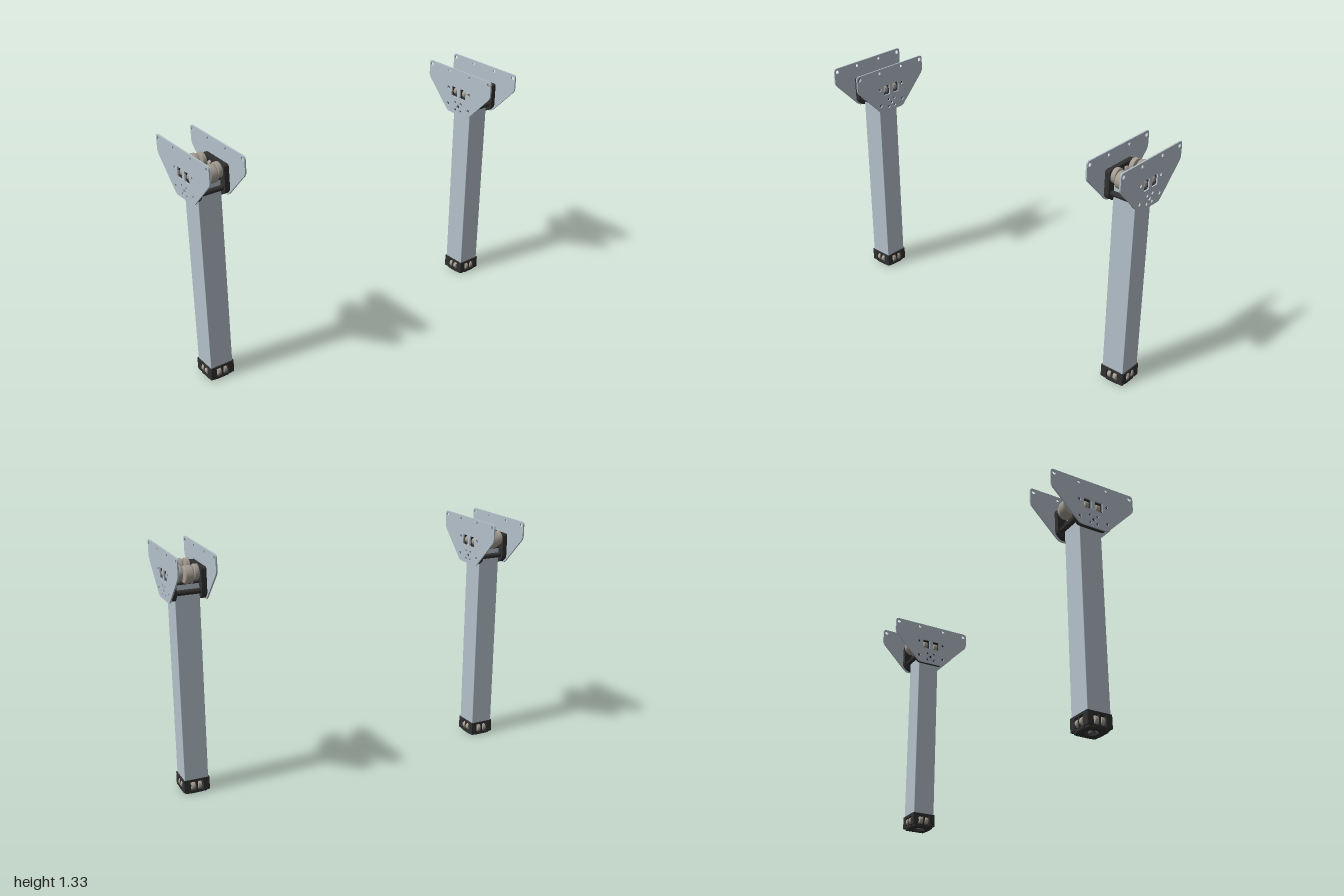
import * as THREE from 'three';

const steel = new THREE.MeshStandardMaterial({ color: 0xb4c0ca });
const black = new THREE.MeshStandardMaterial({ color: 0x303030 });
const rubber = new THREE.MeshStandardMaterial({ color: 0xa39c92 });

function add(parent, name, geometry, material, x = 0, y = 0, z = 0) {
  const mesh = new THREE.Mesh(geometry, material);
  mesh.name = name;
  mesh.position.set(x, y, z);
  parent.add(mesh);
  return mesh;
}

// polygon with rounded corners
function roundedPolygon(points, r) {
  const shape = new THREE.Shape();
  const v = points.map(([a, b]) => new THREE.Vector2(a, b));
  v.forEach((p, i) => {
    const toward = q => q.clone().sub(p).setLength(r).add(p);
    const a = toward(v[(i + v.length - 1) % v.length]);
    const b = toward(v[(i + 1) % v.length]);
    if (i === 0) shape.moveTo(a.x, a.y); else shape.lineTo(a.x, a.y);
    shape.quadraticCurveTo(p.x, p.y, b.x, b.y);
  });
  shape.closePath();
  return shape;
}
const rectangle = (w, h, r, x = 0, y = 0) => roundedPolygon(
  [[x - w, y - h], [x + w, y - h], [x + w, y + h], [x - w, y + h]], r);

function roundHole(shape, x, y, r) {
  shape.holes.push(new THREE.Path().absarc(x, y, r, 0, Math.PI * 2, true));
}

// extrude a (z, y) outline along x, centred on x = 0
function sidePanel(shape, depth) {
  return new THREE.ExtrudeGeometry(shape, { depth, bevelEnabled: false, curveSegments: 8 })
    .translate(0, 0, -depth / 2).rotateY(-Math.PI / 2);
}
// extrude an (x, z) outline upward from y = 0
function slab(shape, depth) {
  return new THREE.ExtrudeGeometry(shape, { depth, bevelEnabled: false, curveSegments: 10 })
    .rotateX(-Math.PI / 2);
}
// wheel with softened rims, axis along x
function wheel(radius, width) {
  const h = width / 2, c = Math.min(radius, width) * 0.18;
  const profile = [[0, -h], [radius - c, -h], [radius - c * 0.3, -h + c * 0.3], [radius, -h + c],
    [radius, h - c], [radius - c * 0.3, h - c * 0.3], [radius - c, h], [0, h]];
  return new THREE.LatheGeometry(profile.map(p => new THREE.Vector2(...p)), 28)
    .rotateZ(-Math.PI / 2);
}
const rod = (r, length) => new THREE.CylinderGeometry(r, r, length, 16).rotateZ(Math.PI / 2);

function addWindows(shape, w, h) {
  for (const s of [-1, 1]) shape.holes.push(rectangle(w, h, 0.006, s * 0.034, 1.19));
}

function createFoot() {
  const foot = new THREE.Group();
  foot.name = 'foot';
  const collar = rectangle(0.071, 0.071, 0.006);
  roundHole(collar, 0, 0, 0.034);
  add(foot, 'footCollar', slab(collar, 0.012), black, 0, 0.068, 0);
  const base = rectangle(0.062, 0.062, 0.014);
  roundHole(base, 0, 0, 0.034);
  add(foot, 'footBase', slab(base, 0.012), black);
  const post = slab(rectangle(0.0185, 0.0185, 0.005), 0.06);
  for (const x of [-1, 1]) for (const z of [-1, 1])
    add(foot, 'footCorner', post, black, x * 0.0525, 0.01, z * 0.0525);

  // a pair of small rollers with an axle and a rib on each face
  for (let i = 0; i < 4; i++) {
    const face = new THREE.Group();
    face.name = 'footRollerSet';
    face.rotation.y = i * Math.PI / 2;
    for (const s of [-1, 1])
      add(face, 'footRoller', wheel(0.021, 0.021), rubber, s * 0.0175, 0.041, 0.054);
    add(face, 'footAxle', rod(0.006, 0.08), black, 0, 0.041, 0.054);
    add(face, 'footRib', new THREE.BoxGeometry(0.01, 0.06, 0.034), black, 0, 0.04, 0.053);
    add(face, 'footSill', new THREE.BoxGeometry(0.07, 0.014, 0.012), black, 0, 0.009, 0.062);
    foot.add(face);
  }
  return foot;
}

function createHead() {
  const head = new THREE.Group();
  head.name = 'head';

  // outer mounting plate
  const plate = roundedPolygon([[-0.083, 1.06], [0.083, 1.06], [0.25, 1.23], [0.25, 1.325],
    [-0.25, 1.325], [-0.25, 1.23]], 0.018);
  for (const s of [-1, 1]) {
    roundHole(plate, s * 0.23, 1.304, 0.011);
    roundHole(plate, s * 0.083, 1.304, 0.009);
    for (const y of [1.105, 1.203]) roundHole(plate, s * 0.083, y, 0.009);
    for (const y of [1.084, 1.128]) roundHole(plate, s * 0.022, y, 0.008);
  }
  roundHole(plate, 0, 1.106, 0.01);
  addWindows(plate, 0.022, 0.029);

  // inner black cheek
  const cheek = roundedPolygon([[-0.075, 1.066], [0.075, 1.066], [0.105, 1.096], [0.105, 1.233],
    [-0.105, 1.233], [-0.105, 1.096]], 0.014);
  roundHole(cheek, 0, 1.106, 0.01);
  addWindows(cheek, 0.019, 0.026);

  for (const s of [-1, 1]) {
    add(head, 'mountingPlate', sidePanel(plate, 0.008), steel, s * 0.096);
    add(head, 'cheek', sidePanel(cheek, 0.027), black, s * 0.0785);
    for (const z of [-0.034, 0.034]) {
      const roller = add(head, 'guideRoller', wheel(0.021, 0.024), rubber, s * 0.076, 1.19, z);
      roller.rotation.y = Math.PI / 2;
    }
    const pin = add(head, 'guidePin', rod(0.006, 0.13), black, s * 0.076, 1.19, 0);
    pin.rotation.y = Math.PI / 2;

    // large rollers on the front and back axles
    const z = s * 0.08;
    add(head, 'middleRoller', wheel(0.046, 0.048), rubber, 0, 1.2, s * 0.084);
    for (const x of [-0.043, 0.043])
      add(head, 'sideRoller', wheel(0.041, 0.026), rubber, x, 1.207, s * 0.073);
    add(head, 'rollerAxle', rod(0.011, 0.17), black, 0, 1.203, z);
    add(head, 'crossBar', rod(0.014, 0.17), black, 0, 1.109, z);
  }

  // cap over the top of the tube, with corner screws
  const cap = rectangle(0.066, 0.066, 0.006);
  roundHole(cap, 0, 0, 0.034);
  add(head, 'tubeCap', slab(cap, 0.009), black, 0, 1.146, 0);
  for (const x of [-1, 1]) for (const z of [-1, 1])
    add(head, 'capScrew', new THREE.CylinderGeometry(0.008, 0.008, 0.008, 12), black,
      x * 0.038, 1.158, z * 0.032);
  return head;
}

function createLeg() {
  const leg = new THREE.Group();
  leg.name = 'leg';
  // hollow square tube
  const section = rectangle(0.065, 0.065, 0.003);
  section.holes.push(rectangle(0.058, 0.058, 0.003));
  add(leg, 'tube', slab(section, 1.076), steel, 0, 0.07, 0);
  leg.add(createFoot(), createHead());
  return leg;
}

export function createModel() {
  const model = new THREE.Group();
  model.name = 'legPair';
  for (const [name, x] of [['leftLeg', 0.9], ['rightLeg', -0.9]]) {
    const leg = createLeg();
    leg.name = name;
    leg.position.x = x;
    model.add(leg);
  }
  return model;
}
